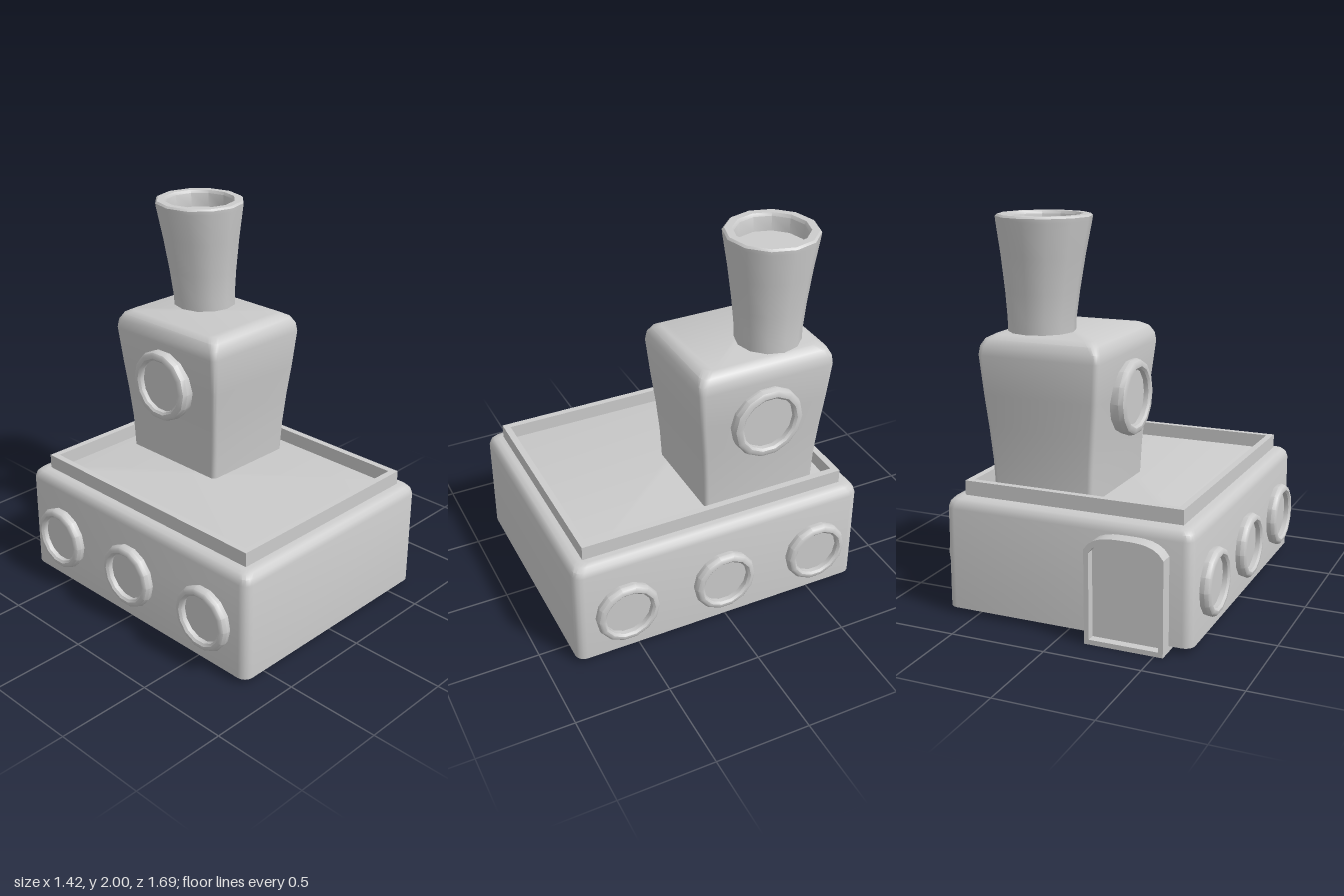
import * as THREE from 'three';
import { toCreasedNormals } from 'three/addons/utils/BufferGeometryUtils.js';

const material = new THREE.MeshStandardMaterial({ color: 0xcccccc });

function add(group, name, geometry, crease = 0.62) {
  const mesh = new THREE.Mesh(toCreasedNormals(geometry, crease), material);
  mesh.name = name;
  group.add(mesh);
  return mesh;
}

// Closed solid through rounded rectangles: each section is [y, x0, x1, z0, z1, radius]
function loft(sections, steps = 4) {
  const pos = [], index = [], n = 4 * (steps + 1);
  for (const [y, x0, x1, z0, z1, r] of sections) {
    const corners = [[x1 - r, z1 - r], [x0 + r, z1 - r], [x0 + r, z0 + r], [x1 - r, z0 + r]];
    corners.forEach(([cx, cz], k) => {
      for (let i = 0; i <= steps; i++) {
        const a = (k + i / steps) * Math.PI / 2;
        pos.push(cx + r * Math.cos(a), y, cz + r * Math.sin(a));
      }
    });
  }
  const last = (sections.length - 1) * n;
  for (let s = 0; s < last; s += n) {
    for (let i = 0; i < n; i++) {
      const a = s + i, b = s + (i + 1) % n;
      index.push(a, a + n, b, b, a + n, b + n);
    }
  }
  for (let i = 1; i < n - 1; i++) {
    index.push(0, i, i + 1, last, last + i + 1, last + i);
  }
  const g = new THREE.BufferGeometry();
  g.setAttribute('position', new THREE.Float32BufferAttribute(pos, 3));
  g.setIndex(index);
  return g;
}

function lathe(points, sides) {
  return new THREE.LatheGeometry(points.map(([r, y]) => new THREE.Vector2(r, y)), sides);
}

// Round window with a bevelled ring and a recessed pane, facing +x or -x
function porthole(group, name, side, x, y, z, R, depth) {
  const r = R * 0.74;
  const g = lathe([[R - 0.008, 0], [R, depth * 0.6], [R - 0.008, depth - 0.008], [R - 0.02, depth],
    [r + 0.012, depth], [r, depth - 0.01], [r, depth - 0.035], [0, depth - 0.035]], 14);
  g.rotateZ(-side * Math.PI / 2);
  add(group, name, g).position.set(x, y, z);
}

function rect(path, hx, hy) {
  path.moveTo(-hx, -hy);
  path.lineTo(hx, -hy);
  path.lineTo(hx, hy);
  path.lineTo(-hx, hy);
  path.closePath();
  return path;
}

// Door outline with a shallow arched top
function archPath(path, hw, bottom, shoulder, top) {
  path.moveTo(-hw, bottom);
  path.lineTo(hw, bottom);
  path.lineTo(hw, shoulder);
  path.bezierCurveTo(hw * 0.8, top, hw * 0.4, top, 0, top);
  path.bezierCurveTo(-hw * 0.4, top, -hw * 0.8, top, -hw, shoulder);
  path.closePath();
  return path;
}

export function createModel() {
  const model = new THREE.Group();
  model.name = 'house';

  // Main body with softened upper edges
  const body = [[0.03, 0], [0.555, 0], [0.585, 0.008], [0.603, 0.025], [0.61, 0.05]];
  add(model, 'body', loft(body.map(([y, d]) =>
    [y, -0.66 + d, 0.66 - d, -0.77 + d, 0.845 - d, 0.05])));

  // Low parapet around the roof
  const rim = rect(new THREE.Shape(), 0.585, 0.73);
  rim.holes.push(rect(new THREE.Path(), 0.55, 0.695));
  const rimGeometry = new THREE.ExtrudeGeometry(rim, { depth: 0.085, bevelEnabled: false });
  rimGeometry.rotateX(-Math.PI / 2);
  add(model, 'parapet', rimGeometry).position.set(0, 0.6, 0.04);

  // Flared tower
  add(model, 'tower', loft([
    [0.6, -0.065, 0.475, -0.59, 0.045, 0.025],
    [0.78, -0.072, 0.482, -0.597, 0.055, 0.025],
    [0.95, -0.088, 0.495, -0.61, 0.07, 0.025],
    [1.12, -0.107, 0.51, -0.627, 0.09, 0.025],
    [1.32, -0.13, 0.527, -0.645, 0.11, 0.03],
    [1.365, -0.124, 0.522, -0.64, 0.105, 0.035],
    [1.4, -0.105, 0.503, -0.622, 0.086, 0.04],
    [1.42, -0.07, 0.465, -0.585, 0.05, 0.04],
  ]));

  // Chimney, leaning slightly, with a recessed mouth
  const chimney = lathe([[0.17, 1.38], [0.172, 1.48], [0.186, 1.62], [0.21, 1.8], [0.238, 1.97],
    [0.24, 1.99], [0.23, 2], [0.192, 2], [0.182, 1.985], [0.178, 1.91], [0, 1.91]], 12);
  const p = chimney.attributes.position;
  for (let i = 0; i < p.count; i++) {
    const t = (p.getY(i) - 1.4) / 0.6;
    p.setX(i, p.getX(i) + 0.298 - 0.028 * t);
    p.setZ(i, p.getZ(i) - 0.383 - 0.011 * t);
  }
  add(model, 'chimney', chimney);

  // Portholes on both sides of body and tower
  for (const [side, label] of [[1, 'left'], [-1, 'right']]) {
    [0.577, 0.033, -0.508].forEach((z, i) =>
      porthole(model, `${label}Porthole${i + 1}`, side, side * 0.645, 0.28, z, 0.172, 0.067));
    porthole(model, `${label}TowerPorthole`, side, side > 0 ? 0.49 : -0.1, 1.09, -0.262, 0.196, 0.08);
  }

  // Arched back door: frame and recessed panel
  const door = new THREE.Group();
  door.name = 'door';
  door.position.set(-0.342, 0, -0.845);
  const frame = archPath(new THREE.Shape(), 0.203, 0, 0.48, 0.55);
  frame.holes.push(archPath(new THREE.Path(), 0.178, 0.025, 0.465, 0.525));
  add(door, 'doorFrame', new THREE.ExtrudeGeometry(frame,
    { depth: 0.125, bevelEnabled: false, curveSegments: 6 }));
  const panel = archPath(new THREE.Shape(), 0.19, 0.01, 0.475, 0.535);
  add(door, 'doorPanel', new THREE.ExtrudeGeometry(panel,
    { depth: 0.06, bevelEnabled: false, curveSegments: 6 })).position.z = 0.045;
  model.add(door);

  return model;
}
